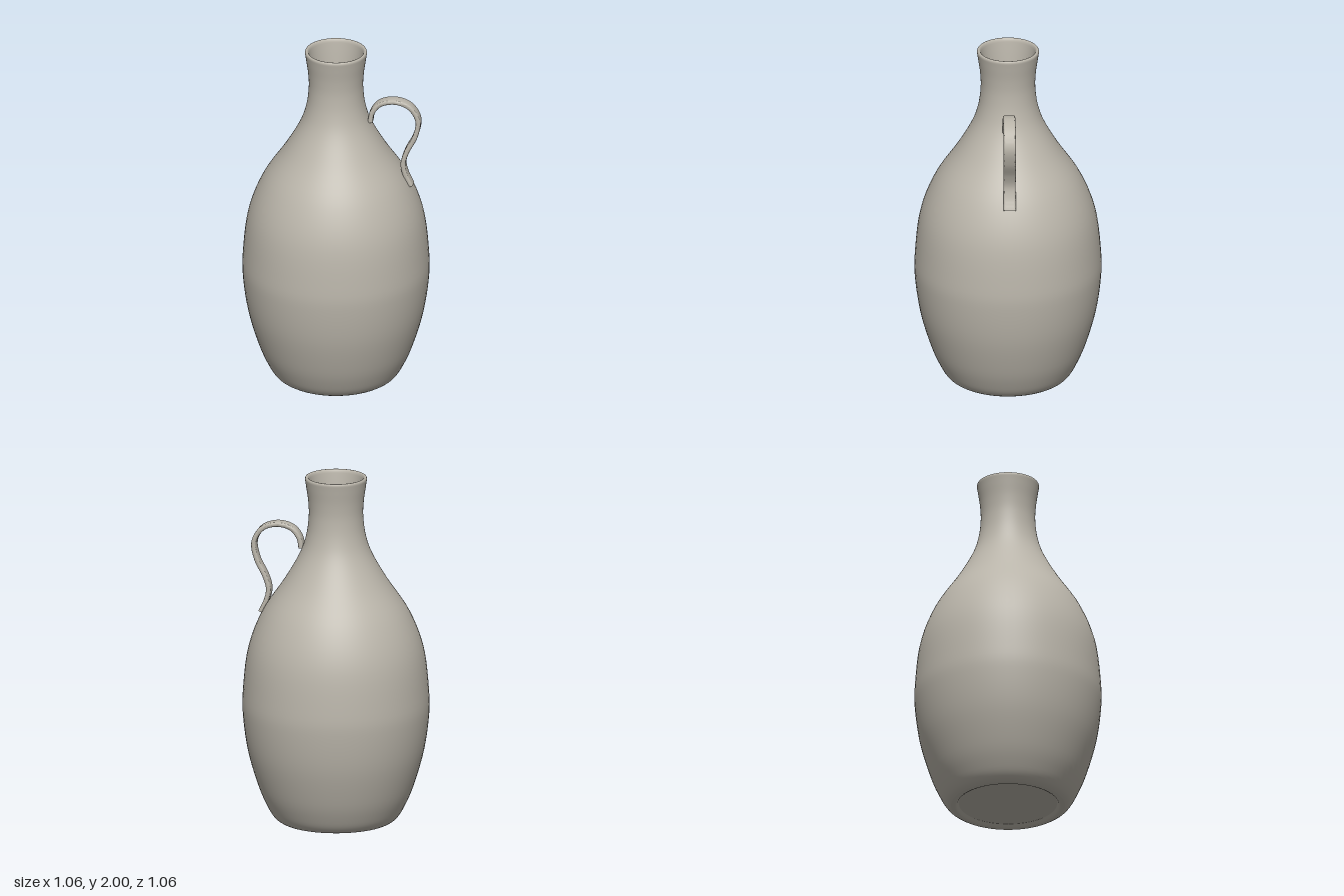
import * as THREE from 'three';
import { toCreasedNormals } from 'three/addons/utils/BufferGeometryUtils.js';

const v2 = ([x, y]) => new THREE.Vector2(x, y);
const smooth = (pts, n) => new THREE.SplineCurve(pts.map(v2)).getPoints(n);

export function createModel() {
  const group = new THREE.Group();
  const clay = new THREE.MeshStandardMaterial({ color: 0xbab5aa });
  clay.name = 'warm grey clay';

  // Body: recessed foot, outer wall, rim, inner wall and floor in one profile
  const outer = smooth([
    [0.32, 0.003], [0.35, 0.025], [0.385, 0.08], [0.437, 0.2], [0.495, 0.4], [0.524, 0.6],
    [0.525, 0.75], [0.495, 1.0], [0.415, 1.21], [0.29, 1.4], [0.205, 1.55], [0.168, 1.66],
    [0.154, 1.77], [0.157, 1.86], [0.168, 1.94], [0.175, 1.985],
  ], 70);
  const rim = smooth([[0.175, 1.99], [0.172, 1.998], [0.165, 2.0], [0.158, 1.996], [0.154, 1.985]], 8);
  const inner = smooth([
    [0.153, 1.98], [0.142, 1.9], [0.132, 1.8], [0.136, 1.71], [0.15, 1.64], [0.18, 1.54],
    [0.265, 1.39], [0.39, 1.2], [0.47, 1.0], [0.5, 0.75], [0.47, 0.4], [0.41, 0.2], [0.34, 0.07], [0.3, 0.045],
  ], 50);
  const foot = [[0, 0.02], [0.275, 0.02], [0.28, 0.019], [0.288, 0.006], [0.3, 0]].map(v2);
  const profile = [...foot, ...outer, ...rim, ...inner, new THREE.Vector2(0, 0.045)];
  const body = new THREE.Mesh(new THREE.LatheGeometry(profile, 72), clay);
  body.name = 'bottleBody';
  group.add(body);

  // Handle: flat strap with rounded edges swept along an S-curve
  const path = new THREE.CatmullRomCurve3([
    [0.197, 1.578], [0.208, 1.635], [0.25, 1.688], [0.335, 1.709], [0.42, 1.68], [0.468, 1.6],
    [0.452, 1.5], [0.405, 1.405], [0.384, 1.33], [0.396, 1.265], [0.428, 1.195],
  ].map(([x, y]) => new THREE.Vector3(x, y, 0)));
  const w = 0.035, t = 0.014, r = 0.012;
  const strap = new THREE.Shape();
  strap.moveTo(-w + r, -t);
  strap.lineTo(w - r, -t);
  strap.quadraticCurveTo(w, -t, w, 0);
  strap.quadraticCurveTo(w, t, w - r, t);
  strap.lineTo(-w + r, t);
  strap.quadraticCurveTo(-w, t, -w, 0);
  strap.quadraticCurveTo(-w, -t, -w + r, -t);
  const strapGeometry = new THREE.ExtrudeGeometry(strap, { steps: 72, curveSegments: 5, extrudePath: path });
  const handle = new THREE.Mesh(toCreasedNormals(strapGeometry, 0.9), clay);
  handle.name = 'handle';
  group.add(handle);

  return group;
}
